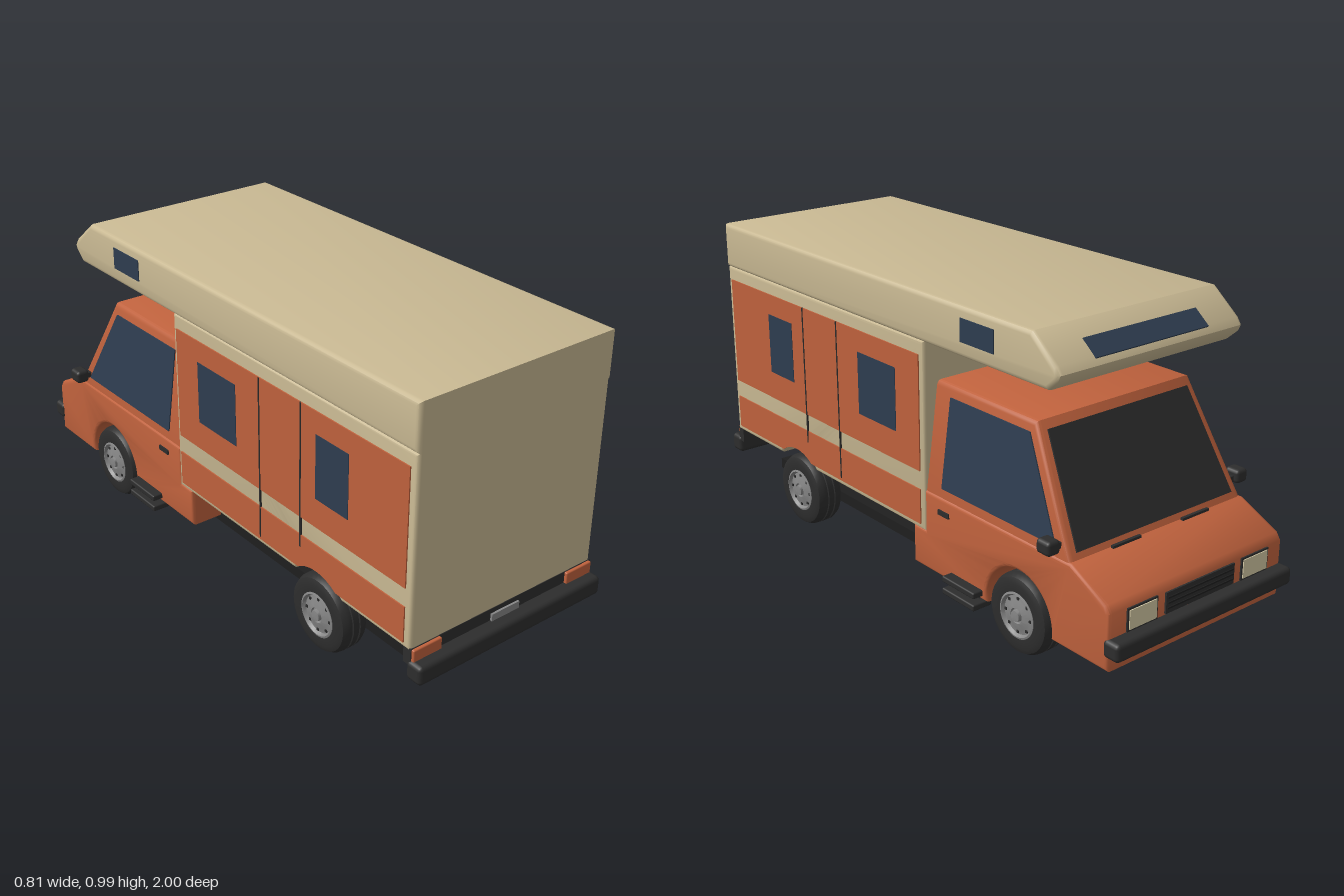
import * as THREE from 'three';
import { toCreasedNormals } from 'three/addons/utils/BufferGeometryUtils.js';
import { RoundedBoxGeometry } from 'three/addons/geometries/RoundedBoxGeometry.js';

const material = (name, color) => Object.assign(new THREE.MeshStandardMaterial({ color }), { name });

export function createModel() {
  const model = new THREE.Group();
  model.name = 'camperVan';
  const cream = material('cream shell', 0xc9b993);
  const orange = material('orange paint', 0xc0623d);
  const dark = material('dark trim', 0x2d2d2d);
  const black = material('black chassis', 0x1f1f1f);
  const glass = material('blue glass', 0x2e3d50);
  const grey = material('grey metal', 0x868686);
  const lamp = material('headlamp', 0xd6cba6);

  const add = (name, geometry, mat) => {
    const mesh = new THREE.Mesh(geometry, mat);
    mesh.name = name;
    model.add(mesh);
    return mesh;
  };
  const box = (name, mat, x, y, z, w, h, d, r = 0) => {
    const g = r ? new RoundedBoxGeometry(w, h, d, 2, r) : new THREE.BoxGeometry(w, h, d);
    add(name, g, mat).position.set(x, y, z);
  };
  // Closed side outline in (z, y), optionally with a wheel arch in its last (bottom) edge
  const outline = (pts, arch) => {
    const s = new THREE.Shape(pts.map(p => new THREE.Vector2(...p)));
    if (arch) {
      const [z, y, r] = arch, bottom = pts[pts.length - 1][1];
      const a = Math.asin((bottom - y) / r);
      s.lineTo(z - r * Math.cos(a), bottom);
      s.absarc(z, y, r, Math.PI - a, a, true);
    }
    s.closePath();
    return s;
  };
  // Side outline extruded across the vehicle, centred on x
  const across = (shape, width, bevel = 0) => {
    const g = new THREE.ExtrudeGeometry(shape, {
      depth: width - 2 * bevel, bevelEnabled: bevel > 0, bevelSize: bevel,
      bevelThickness: bevel, bevelOffset: -bevel, bevelSegments: 3, curveSegments: 24,
    });
    g.translate(0, 0, bevel - width / 2);
    g.rotateY(-Math.PI / 2);
    return g;
  };
  // Thin plates on both flanks; halfWidth(y) follows a leaning wall
  const sidePlates = (name, mat, shape, halfWidth) => {
    for (const s of [1, -1]) {
      const g = across(shape, 0.006), p = g.attributes.position;
      for (let i = 0; i < p.count; i++) p.setX(i, p.getX(i) + s * halfWidth(p.getY(i)));
      g.computeVertexNormals();
      add(name, g, mat);
    }
  };
  const rect = (z0, z1, y0, y1) => outline([[z0, y0], [z0, y1], [z1, y1], [z1, y0]]);
  // Thin trapezoid facing the nose, from a lower (y, z) to an upper (y, z)
  const nosePlate = (name, mat, x, lowW, topW, [y0, z0], [y1, z1]) => {
    const up = new THREE.Vector3(0, y1 - y0, z1 - z0), len = up.length();
    up.normalize();
    const X = new THREE.Vector3(-1, 0, 0), Z = X.clone().cross(up);
    const shape = new THREE.Shape([[-lowW, 0], [lowW, 0], [topW, len], [-topW, len]]
      .map(p => new THREE.Vector2(...p)));
    const g = new THREE.ExtrudeGeometry(shape, { depth: 0.008, bevelEnabled: false });
    g.translate(0, 0, -0.004);
    g.applyMatrix4(new THREE.Matrix4().makeBasis(X, up, Z).setPosition(x, y0, z0));
    add(name, g, mat);
  };

  // Living compartment and overcab roof
  const rearArch = [0.55, 0.13, 0.15];
  add('camperBody', toCreasedNormals(across(outline(
    [[0.95, 0.235], [0.95, 0.845], [-0.165, 0.845], [-0.165, 0.235]], rearArch), 0.714, 0.012), 0.7), cream);
  add('overcabRoof', toCreasedNormals(across(outline([[0.952, 0.843], [0.952, 0.993], [-0.64, 0.993],
    [-0.735, 0.917], [-0.75, 0.895], [-0.742, 0.875], [-0.705, 0.843]]), 0.722, 0.015), 0.7), cream);

  // Painted side panels, door seams and windows
  const wall = () => 0.358;
  sidePlates('upperSidePanel', orange, rect(-0.145, 0.925, 0.43, 0.8), wall);
  sidePlates('lowerSidePanel', orange, outline(
    [[0.925, 0.255], [0.925, 0.37], [-0.145, 0.37], [-0.145, 0.255]], [0.55, 0.13, 0.152]), wall);
  const seam = () => 0.3595;
  sidePlates('doorSeam', dark, rect(0.473, 0.478, 0.33, 0.8), seam);
  sidePlates('doorSeam', dark, rect(0.279, 0.284, 0.265, 0.8), seam);
  sidePlates('rearSideWindow', glass, rect(0.545, 0.687, 0.525, 0.73), seam);
  sidePlates('frontSideWindow', glass, rect(-0.03, 0.165, 0.525, 0.73), seam);
  sidePlates('overcabSideWindow', glass, rect(-0.49, -0.345, 0.89, 0.96), () => 0.361);
  nosePlate('overcabFrontWindow', glass, 0, 0.22, 0.22, [0.913, -0.74], [0.955, -0.6875]);

  // Cab: lower body with bonnet, and an inward-leaning upper part
  add('cabLowerBody', toCreasedNormals(across(outline([[-0.1, 0.11], [-0.1, 0.24], [-0.16, 0.24],
    [-0.16, 0.372], [-0.8, 0.372], [-0.94, 0.307], [-0.955, 0.285], [-0.955, 0.11]],
    [-0.59, 0.13, 0.14]), 0.71, 0.012), 0.7), orange);
  box('cabInnerFloor', orange, 0, 0.21, -0.59, 0.5, 0.2, 0.32);
  const cabHalf = y => 0.35 - Math.max(0, y - 0.36) * 0.13;
  const upper = across(outline([[-0.15, 0.355], [-0.15, 0.715], [-0.605, 0.715], [-0.803, 0.355]]), 0.7, 0.015);
  const up = upper.attributes.position;
  for (let i = 0; i < up.count; i++) up.setX(i, up.getX(i) * cabHalf(up.getY(i)) / 0.35);
  upper.computeVertexNormals();
  add('cabUpperBody', toCreasedNormals(upper, 0.7), orange);
  sidePlates('cabSideWindow', glass, outline(
    [[-0.235, 0.4], [-0.235, 0.68], [-0.585, 0.68], [-0.735, 0.4]]), y => cabHalf(y) + 0.001);
  nosePlate('windscreen', dark, 0, 0.315, 0.278, [0.39, -0.785], [0.69, -0.62]);
  sidePlates('cabDoorHandle', dark, rect(-0.28, -0.23, 0.318, 0.334), () => 0.357);

  // Nose: grille and headlamps
  nosePlate('grille', dark, 0, 0.14, 0.14, [0.215, -0.957], [0.28, -0.957]);
  for (let i = 0; i < 3; i++) box('grilleBar', black, 0, 0.232 + i * 0.016, -0.961, 0.27, 0.005, 0.006);
  for (const s of [1, -1]) {
    nosePlate('headlampFrame', dark, s * 0.23, 0.058, 0.058, [0.212, -0.956], [0.283, -0.956]);
    nosePlate('headlamp', lamp, s * 0.23, 0.052, 0.052, [0.218, -0.959], [0.277, -0.959]);
    box('wiperBase', dark, s * 0.14, 0.376, -0.802, 0.11, 0.008, 0.01);
    box('doorMirror', dark, s * 0.383, 0.417, -0.745, 0.046, 0.044, 0.055, 0.012);
    box('mirrorArm', dark, s * 0.352, 0.41, -0.745, 0.04, 0.018, 0.02);
    box('upperStep', dark, s * 0.355, 0.134, -0.36, 0.07, 0.02, 0.15, 0.005);
    box('lowerStep', dark, s * 0.355, 0.094, -0.36, 0.07, 0.02, 0.15, 0.005);
    box('stepBracket', dark, s * 0.335, 0.112, -0.36, 0.02, 0.04, 0.1);
    box('tailLamp', orange, s * 0.3, 0.215, 0.947, 0.104, 0.055, 0.03, 0.004);
  }

  // Bumpers, rear sill, number plate and chassis
  box('frontBumper', dark, 0, 0.182, -0.968, 0.72, 0.056, 0.06, 0.014);
  box('rearBumper', dark, 0, 0.175, 0.968, 0.72, 0.062, 0.06, 0.014);
  box('rearSill', dark, 0, 0.217, 0.937, 0.71, 0.055, 0.03);
  box('numberPlate', grey, 0, 0.217, 0.955, 0.108, 0.024, 0.008);
  box('chassis', black, 0, 0.102, 0.005, 0.49, 0.036, 1.69);

  // Wheels: tyre with tread grooves, dished rim and hub cap, lathed around x
  const lathe = pts => toCreasedNormals(new THREE.LatheGeometry(
    pts.map(p => new THREE.Vector2(...p)), 40).rotateZ(-Math.PI / 2), 0.6);
  const tyre = lathe([[0.001, -0.04], [0.068, -0.045], [0.1, -0.049], [0.116, -0.043], [0.124, -0.028],
    [0.125, -0.016], [0.121, -0.014], [0.121, -0.011], [0.125, -0.009], [0.125, 0.009], [0.121, 0.011],
    [0.121, 0.014], [0.125, 0.016], [0.124, 0.028], [0.116, 0.043], [0.1, 0.049], [0.07, 0.046], [0.068, 0.03]]);
  const rim = lathe([[0.072, 0.03], [0.072, 0.048], [0.066, 0.05], [0.06, 0.04], [0.045, 0.042],
    [0.03, 0.048], [0.024, 0.049], [0.022, 0.042], [0.018, 0.042], [0.017, 0.054], [0.0005, 0.056]]);
  for (const z of [0.55, -0.59]) {
    for (const s of [1, -1]) {
      const wheel = new THREE.Group();
      wheel.name = z > 0 ? 'rearWheel' : 'frontWheel';
      const tyreMesh = new THREE.Mesh(tyre, dark), rimMesh = new THREE.Mesh(rim, grey);
      tyreMesh.name = 'tyre';
      rimMesh.name = 'rim';
      wheel.add(tyreMesh, rimMesh);
      // Wheel bolts
      for (let i = 0; i < 8; i++) {
        const a = i * Math.PI / 4;
        const bolt = new THREE.Mesh(new THREE.BoxGeometry(0.006, 0.008, 0.008), dark);
        bolt.name = 'rimSlot';
        bolt.position.set(0.041, 0.053 * Math.cos(a), 0.053 * Math.sin(a));
        wheel.add(bolt);
      }
      wheel.position.set(s * 0.31, 0.128, z);
      wheel.rotation.y = s > 0 ? 0 : Math.PI;
      model.add(wheel);
    }
    const axle = new THREE.CylinderGeometry(0.02, 0.02, 0.56, 12).rotateZ(Math.PI / 2);
    add('axle', axle, black).position.set(0, 0.128, z);
  }
  return model;
}
